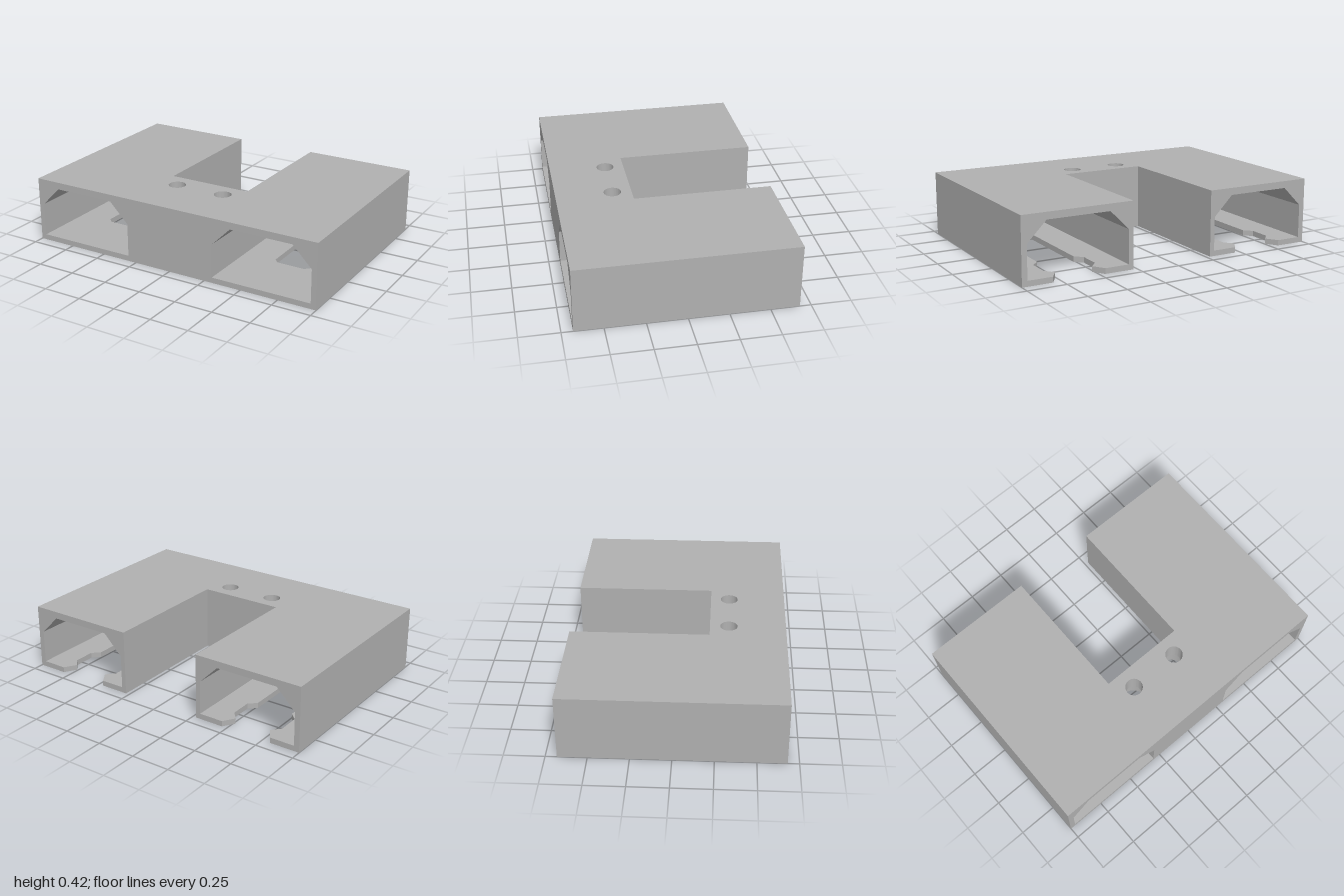
import * as THREE from 'three';
import { toCreasedNormals } from 'three/addons/utils/BufferGeometryUtils.js';

const HEIGHT = 0.42, FLOOR = 0.035, DEPTH = 0.68; // DEPTH is half the z length
const INNER = 0.275, NOTCH = 0.2, SLOT_X = 0.635;
const BORE_TOP = 0.26;

const toShape = pts => new THREE.Shape(pts.map(([x, y]) => new THREE.Vector2(x, y)));

// Two round screw holes, cut in plan
function addHoles(shape, radius) {
  for (const x of [-0.167, 0.167]) {
    const hole = new THREE.Path();
    hole.absarc(x, 0.32, radius, 0, Math.PI * 2, true);
    shape.holes.push(hole);
  }
  return shape;
}

const extrude = (shape, depth) =>
  new THREE.ExtrudeGeometry(shape, { depth, bevelEnabled: false, curveSegments: 24 });

// Extrude an (x, z) plan between two heights
const slab = (shape, y0, y1) =>
  extrude(shape, y1 - y0).rotateX(Math.PI / 2).translate(0, y1, 0);

// Clip slot, as half width and distance from the back edge
const slotHalf = [
  [0.17, 0], [0.122, 0.075], [0.17, 0.13], [0.17, 0.27],
  [0.122, 0.315], [0.122, 0.94], [0.092, 0.97],
];

// Slot outline from its +x side round to its -x side
function slotOutline(cx) {
  const side = s => slotHalf.map(([w, d]) => [cx + s * w, -DEPTH + d]);
  return [...side(1), ...side(-1).reverse()];
}

export function createModel() {
  const group = new THREE.Group();
  const grey = new THREE.MeshStandardMaterial({ color: 0xb0b0b0 });
  grey.name = 'plain grey';

  function add(name, geometry) {
    const mesh = new THREE.Mesh(toCreasedNormals(geometry, 0.5), grey);
    mesh.name = name;
    group.add(mesh);
  }

  // U-shaped floor with two open clip slots and the wide screw bores
  const plan = toShape([
    [-1, DEPTH], [1, DEPTH], [1, -DEPTH],
    ...slotOutline(SLOT_X),
    [INNER, -DEPTH], [INNER, NOTCH], [-INNER, NOTCH], [-INNER, -DEPTH],
    ...slotOutline(-SLOT_X),
    [-1, -DEPTH],
  ]);
  add('floor', slab(addHoles(plan, 0.1), 0, FLOOR));

  // Hollow legs: walls and roof with chamfered inner corners
  const arch = [
    [INNER, FLOOR], [INNER, HEIGHT], [1, HEIGHT], [1, FLOOR],
    [0.965, FLOOR], [0.965, 0.25], [0.84, 0.375],
    [0.43, 0.375], [0.305, 0.25], [0.305, FLOOR],
  ];
  for (const [name, s] of [['leftTunnel', 1], ['rightTunnel', -1]]) {
    const shape = toShape(arch.map(([x, y]) => [s * x, y]));
    add(name, extrude(shape, 2 * DEPTH).translate(0, 0, -DEPTH));
  }

  // Solid bridge with stepped screw holes
  const bridge = () => toShape([
    [-INNER, NOTCH], [INNER, NOTCH], [INNER, DEPTH], [-INNER, DEPTH],
  ]);
  add('bridgeLower', slab(addHoles(bridge(), 0.1), FLOOR, BORE_TOP));
  add('bridgeUpper', slab(addHoles(bridge(), 0.055), BORE_TOP, HEIGHT));

  return group;
}
